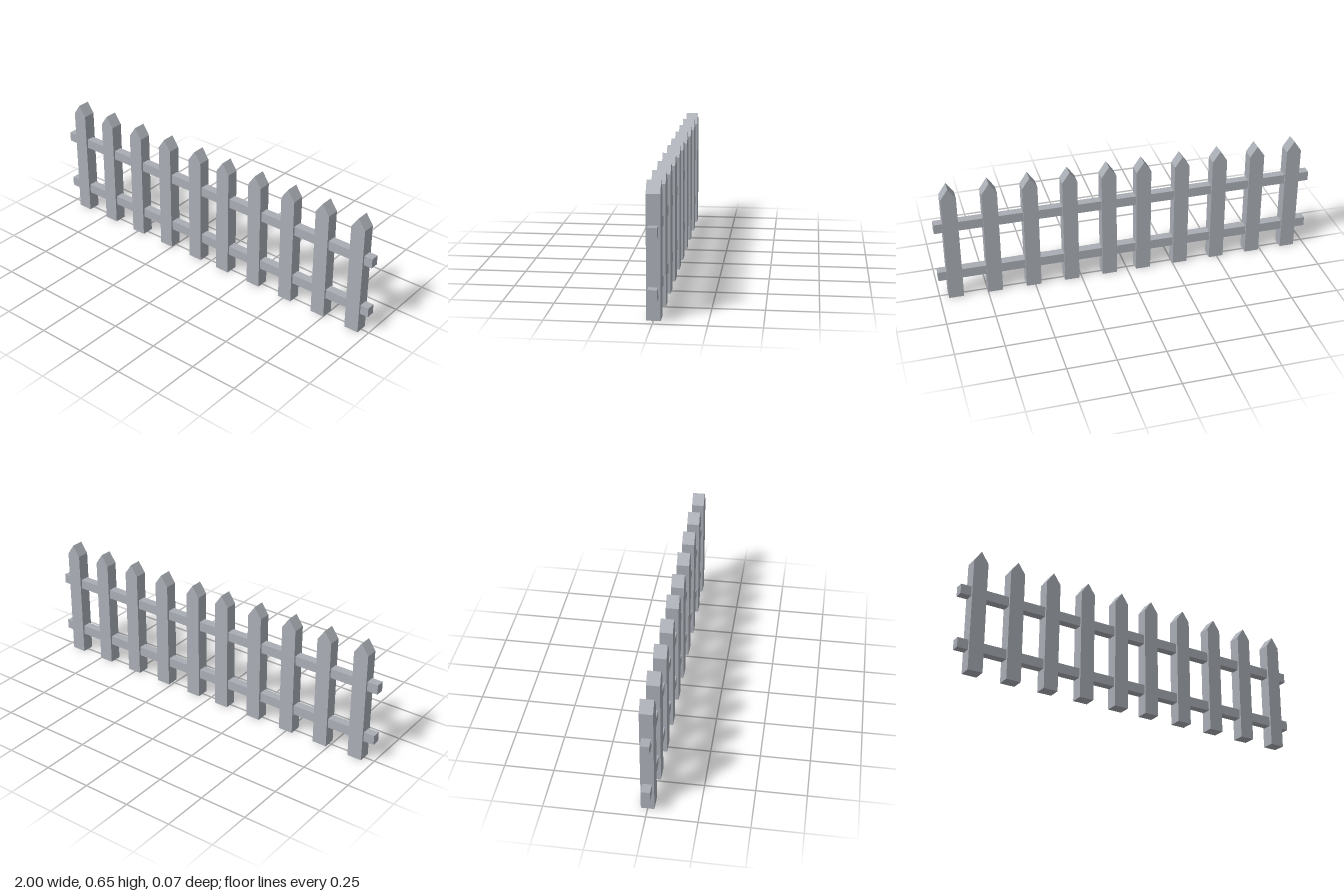
import * as THREE from 'three';

export function createModel() {
  const fence = new THREE.Group();
  fence.name = 'picketFence';
  const paint = new THREE.MeshStandardMaterial({ color: 0xa9adb4 });
  paint.name = 'greyPaint';

  // Pointed picket profile, extruded through its depth
  const half = 0.039, shoulder = 0.59, tip = 0.647, depth = 0.066;
  const profile = new THREE.Shape([
    new THREE.Vector2(-half, 0),
    new THREE.Vector2(half, 0),
    new THREE.Vector2(half, shoulder),
    new THREE.Vector2(0, tip),
    new THREE.Vector2(-half, shoulder),
  ]);
  const picketGeometry = new THREE.ExtrudeGeometry(profile, { depth, bevelEnabled: false });
  picketGeometry.translate(0, 0, -depth / 2);

  // Two runs of five evenly spaced pickets, with a narrower gap between the runs
  const spacing = 0.2045;
  for (const start of [-0.904, 0.098]) {
    for (let i = 0; i < 5; i++) {
      const picket = new THREE.Mesh(picketGeometry, paint);
      picket.name = 'picket';
      picket.position.x = start + i * spacing;
      fence.add(picket);
    }
  }

  // Horizontal rails running through the pickets
  const railGeometry = new THREE.BoxGeometry(2, 0.051, 0.045);
  for (const [name, y] of [['lowerRail', 0.1335], ['upperRail', 0.4205]]) {
    const rail = new THREE.Mesh(railGeometry, paint);
    rail.name = name;
    rail.position.y = y;
    fence.add(rail);
  }
  return fence;
}
